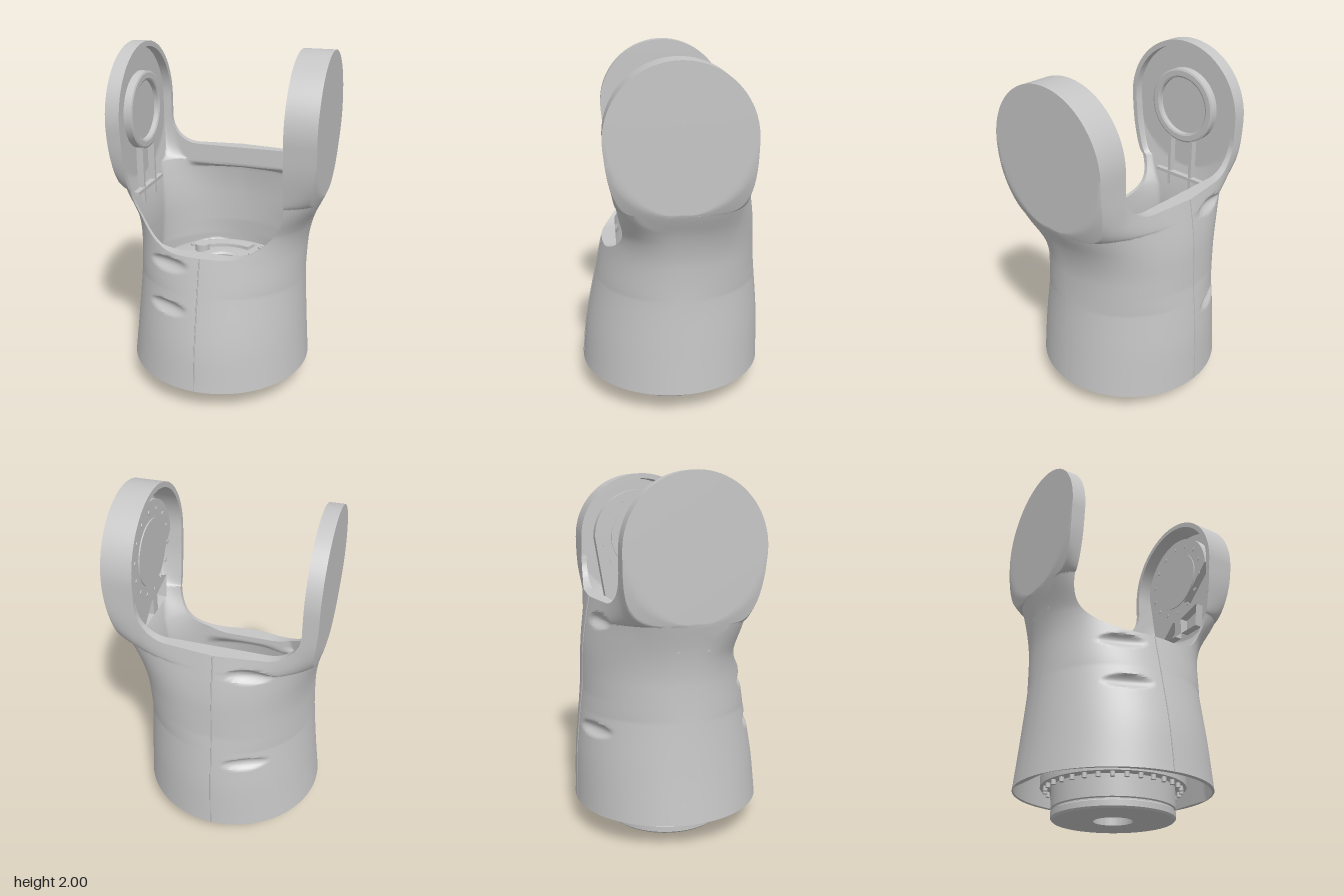
import * as THREE from 'three';
import { toCreasedNormals } from 'three/addons/utils/BufferGeometryUtils.js';

const CX = -0.04, AXIS_Y = 1.61, R = 0.385, WALL = 0.03;
const casing = new THREE.MeshStandardMaterial({ color: 0xc5c5c5, side: THREE.DoubleSide });
casing.name = 'casing grey';

// Smooth curve through [y, value] points
function profile(pts) {
  const n = pts.length - 1;
  const slope = i => {
    const a = pts[Math.max(0, i - 1)], b = pts[Math.min(n, i + 1)];
    return (b[1] - a[1]) / (b[0] - a[0]);
  };
  return y => {
    if (y <= pts[0][0]) return pts[0][1];
    if (y >= pts[n][0]) return pts[n][1];
    let i = 0;
    while (y > pts[i + 1][0]) i++;
    const h = pts[i + 1][0] - pts[i][0], t = (y - pts[i][0]) / h, t2 = t * t, t3 = t2 * t;
    return (2 * t3 - 3 * t2 + 1) * pts[i][1] + (t3 - 2 * t2 + t) * h * slope(i)
      + (3 * t2 - 2 * t3) * pts[i + 1][1] + (t3 - t2) * h * slope(i + 1);
  };
}
// Half extents of the casing; the sides run on past 1.23, where the flat arm discs cut them off
const xLeft = profile([[0.145, 0.495], [0.4, 0.478], [0.7, 0.462], [0.9, 0.467], [1, 0.482], [1.1, 0.512], [1.23, 0.57], [1.35, 0.6]]);
const xRight = profile([[0.145, -0.575], [0.4, -0.545], [0.7, -0.518], [0.9, -0.51], [1, -0.515], [1.1, -0.53], [1.23, -0.56], [1.35, -0.585]]);
const zFront = profile([[0.145, 0.535], [0.4, 0.507], [0.7, 0.448], [0.915, 0.402], [1.05, 0.365], [1.23, 0.343], [1.45, 0.372], [1.61, 0.385]]);
const zBack = profile([[0.145, 0.535], [0.5, 0.522], [1, 0.463], [1.325, 0.395], [1.45, 0.387], [1.61, 0.385]]);
const backRidge = profile([[0.8, 0], [1.325, 0.045], [1.5, 0]]);
// Squareness of the section
const powerFront = profile([[0.7, 2], [1.04, 2.5], [1.23, 4.5], [1.5, 7]]);
const powerBack = profile([[0.7, 2], [1.1, 2.6], [1.325, 3.8], [1.5, 7]]);
const smooth = THREE.MathUtils.smoothstep, lerp = THREE.MathUtils.lerp;

// Scooped vents: side (front 1, back -1), x, y
const vents = [[1, -0.23, 0.85], [1, -0.225, 0.605], [-1, -0.225, 1.22], [-1, -0.225, 0.62]];

// Casing point: u runs round the section (0..4), v is the height; inner = inside of the wall
function shellPoint(u, v, inner = false) {
  const k = Math.floor(u) % 4, f0 = u - Math.floor(u), t = k % 2 ? 1 - f0 : f0;
  const sx = k === 0 || k === 3 ? 1 : -1, sz = k < 2 ? 1 : -1;
  const w = inner ? WALL : 0, ratio = (R - w) / R, dy = v - AXIS_Y;
  const side = y => (sx > 0 ? xLeft(y) - CX : CX - xRight(y));
  const arc = Math.sqrt(Math.max(0, R * R - dy * dy)) * ratio;
  const zm = dy >= 0 ? arc : Math.max(arc, (sz > 0 ? zFront(v) : zBack(v)) - w);
  let x = side(v), z = arc * t / 0.2;
  if (t > 0.2) {
    const a = (t - 0.2) / 0.8 * Math.PI / 2, e = 2 / (sz > 0 ? powerFront(v) : powerBack(v));
    x *= Math.pow(Math.max(0, Math.cos(a)), e);
    z = arc + (zm - arc) * Math.pow(Math.sin(a), e);
  }
  // Flat arm disc, with the flank falling away evenly around its edge
  const beyond = dy < 0 ? Math.max(0, Math.hypot(dy, z) - R) : 0;
  x = Math.min(x, side(1.23 - beyond) - w);
  if (sz < 0) z += backRidge(v) * Math.max(0, 1 - x / 0.44);
  x = CX + sx * x;
  for (const [face, vx, vy] of vents) {
    if (face === sz) z -= 0.032 * Math.max(0, 1 - ((x - vx) / 0.125) ** 2 - ((v - vy) / 0.042) ** 2);
  }
  if (inner) {
    // Thickened lips under the two openings
    const lip = sz > 0 ? smooth(v, 0.8, 0.88) * (1 - smooth(v, 1.15, 1.3))
      : smooth(v, 1.17, 1.21) * (1 - smooth(v, 1.4, 1.5));
    z = lerp(z, Math.min(z, sz > 0 ? 0.32 : 0.355), lip);
  }
  return new THREE.Vector3(x, inner && dy > 0 ? AXIS_Y + dy * ratio : v, sz * z);
}

// Signed distance to the U-shaped opening between the arms
function opening(p) {
  const [bottom, r] = p.z > 0 ? [0.915, 0.31] : [1.325, 0.17];
  const qx = Math.abs(p.x - CX) - 0.44 + r, qy = bottom - p.y + r;
  return Math.min(Math.max(qx, qy), 0) + Math.hypot(Math.max(qx, 0), Math.max(qy, 0)) - r;
}

function casingGeometry() {
  const rows = [], cols = 192, out = [];
  for (let i = 0; i < 104; i++) rows.push(0.145 + (1.225 - 0.145) * i / 103);
  for (let i = 0; i <= 40; i++) rows.push(AXIS_Y - R * Math.cos(Math.PI * i / 40));
  const tri = (a, b, c) => {
    const area = b.clone().sub(a).cross(c.clone().sub(a)).length();
    if (area > 1e-9) for (const p of [a, b, c]) out.push(p.x, p.y, p.z);
  };
  const node = (u, v) => ({ u, v, d: opening(shellPoint(u, v)) });
  const grid = rows.map(v => Array.from({ length: cols + 1 }, (_, i) => node(i * 4 / cols, v)));
  const addClipped = corners => {
    const poly = [];
    corners.forEach((a, i) => {
      const b = corners[(i + 1) % 3];
      if (a.d >= 0) poly.push(a);
      if ((a.d >= 0) !== (b.d >= 0)) {
        const t = a.d / (a.d - b.d);
        poly.push({ u: lerp(a.u, b.u, t), v: lerp(a.v, b.v, t), cut: true });
      }
    });
    const o = poly.map(p => shellPoint(p.u, p.v)), n = poly.map(p => shellPoint(p.u, p.v, true));
    for (let i = 1; i + 1 < poly.length; i++) {
      tri(o[0], o[i], o[i + 1]);
      tri(n[0], n[i + 1], n[i]);
    }
    // Rim joining outside and inside along cut and bottom edges
    poly.forEach((a, i) => {
      const j = (i + 1) % poly.length, b = poly[j];
      if ((a.cut && b.cut) || (a.v === rows[0] && b.v === rows[0])) {
        tri(o[i], n[i], n[j]);
        tri(o[i], n[j], o[j]);
      }
    });
  };
  for (let r = 0; r + 1 < rows.length; r++) for (let c = 0; c < cols; c++) {
    const a = grid[r][c], b = grid[r][c + 1], d = grid[r + 1][c], e = grid[r + 1][c + 1];
    addClipped([a, d, b]);
    addClipped([b, d, e]);
  }
  const g = new THREE.BufferGeometry();
  g.setAttribute('position', new THREE.Float32BufferAttribute(out, 3));
  return toCreasedNormals(g, 0.7);
}

export function createModel() {
  const model = new THREE.Group();
  const add = (name, geo, x = 0, y = 0, z = 0) => {
    const m = new THREE.Mesh(geo, casing);
    m.name = name;
    m.position.set(x, y, z);
    model.add(m);
    return m;
  };
  const cylX = (r, h, n = 48) => new THREE.CylinderGeometry(r, r, h, n).rotateZ(Math.PI / 2);
  const cylY = (r, h, n = 20) => new THREE.CylinderGeometry(r, r, h, n);
  const lathe = pts => toCreasedNormals(new THREE.LatheGeometry(pts.map(p => new THREE.Vector2(...p)), 72), 0.4);
  const circle = (n, r, fn) => {
    for (let i = 0; i < n; i++) fn(r * Math.cos(i * 2 * Math.PI / n), r * Math.sin(i * 2 * Math.PI / n));
  };

  add('casing', casingGeometry());

  // Seams down the middle of front and back
  for (const [u, top] of [[1, 0.912], [3, 1.322]]) {
    const pts = Array.from({ length: 16 }, (_, i) => shellPoint(u, lerp(0.147, top, i / 15)));
    add('seam', new THREE.TubeGeometry(new THREE.CatmullRomCurve3(pts), 40, 0.004, 4));
  }

  // Hollow joint drive with stepped flanges
  add('jointDrive', lathe([[0.105, 0], [0.32, 0], [0.33, 0.01], [0.33, 0.04], [0.322, 0.045], [0.322, 0.052], [0.33, 0.057],
    [0.33, 0.17], [0.39, 0.17], [0.39, 0.24], [0.36, 0.26], [0.36, 0.62], [0.395, 0.64], [0.395, 0.69], [0.37, 0.7],
    [0.182, 0.7], [0.182, 0.715], [0.145, 0.715], [0.145, 0.725], [0.118, 0.725], [0.105, 0.715], [0.105, 0]]), CX);
  circle(24, 0.285, (x, z) => add('baseBolt', cylY(0.011, 0.004, 10), CX + x, 0.002, z));
  circle(32, 0.362, (x, z) => add('flangeBolt', cylY(0.013, 0.03, 10), CX + x, 0.16, z));
  circle(6, 0.165, (x, z) => add('collarBolt', cylY(0.008, 0.004, 10), CX + z, 0.717, x));

  // Fittings on the top plate
  for (const [x, z] of [[-0.29, -0.21], [0.13, -0.285], [-0.29, 0.21], [0.13, 0.285]]) {
    add('plateScrew', cylY(0.023, 0.012), x, 0.706, z);
    add('screwSocket', cylY(0.01, 0.004, 6), x, 0.713, z);
  }
  const sector = (r0, r1, a0, a1) => {
    const s = new THREE.Shape(), d = Math.PI / 180;
    s.absarc(0, 0, r1, a0 * d, a1 * d, false);
    s.absarc(0, 0, r0, a1 * d, a0 * d, true);
    return new THREE.ExtrudeGeometry(s, { depth: 0.02, bevelEnabled: false, curveSegments: 12 }).rotateX(-Math.PI / 2);
  };
  add('sidePocket', sector(0.235, 0.31, -18, 50), CX, 0.7);
  add('sidePocketWide', sector(0.19, 0.235, 22, 50), CX, 0.7);
  add('rearPocket', sector(0.25, 0.32, 68, 130), CX, 0.7);
  add('plugSocket', cylY(0.045, 0.05, 32), -0.22, 0.72, -0.16);
  add('connector', new THREE.BoxGeometry(0.13, 0.014, 0.07), 0.01, 0.707, 0.275).rotation.y = 0.2;

  // Bearing seat inside the right arm, with stalks and a crossbar
  add('bearingRing', lathe([[0.17, 0], [0.22, 0], [0.22, 0.045], [0.21, 0.05], [0.18, 0.05], [0.17, 0.045], [0.17, 0]])
    .rotateZ(-Math.PI / 2), -0.532, AXIS_Y);
  add('bearingCap', cylX(0.172, 0.015), -0.522, AXIS_Y);
  for (const z of [-0.08, 0.08]) add('stalk', new THREE.BoxGeometry(0.04, 0.34, 0.02), -0.505, 1.25, z);
  add('crossbar', new THREE.BoxGeometry(0.035, 0.02, 0.36), -0.498, 1.16);

  // Motor mount inside the left arm
  const plate = new THREE.Shape();
  plate.moveTo(0.22, -0.43);
  plate.absarc(0, 0, 0.29, 0, Math.PI, false);
  plate.lineTo(-0.22, -0.43);
  plate.closePath();
  for (const s of [-1, 1]) {
    const slot = new THREE.Path();
    slot.moveTo(s * 0.03, -0.39);
    slot.lineTo(s * 0.17, -0.39);
    slot.lineTo(s * 0.19, -0.25);
    slot.lineTo(s * 0.03, -0.29);
    slot.closePath();
    plate.holes.push(slot);
  }
  const plateGeo = new THREE.ExtrudeGeometry(plate, { depth: 0.05, bevelEnabled: false, curveSegments: 32 });
  add('motorMount', plateGeo.rotateY(-Math.PI / 2), 0.495, AXIS_Y);
  add('motorFace', cylX(0.19, 0.008), 0.442, AXIS_Y);
  circle(14, 0.235, (y, z) => add('mountBolt', cylX(0.012, 0.006, 12), 0.443, AXIS_Y + y, z));
  return model;
}
